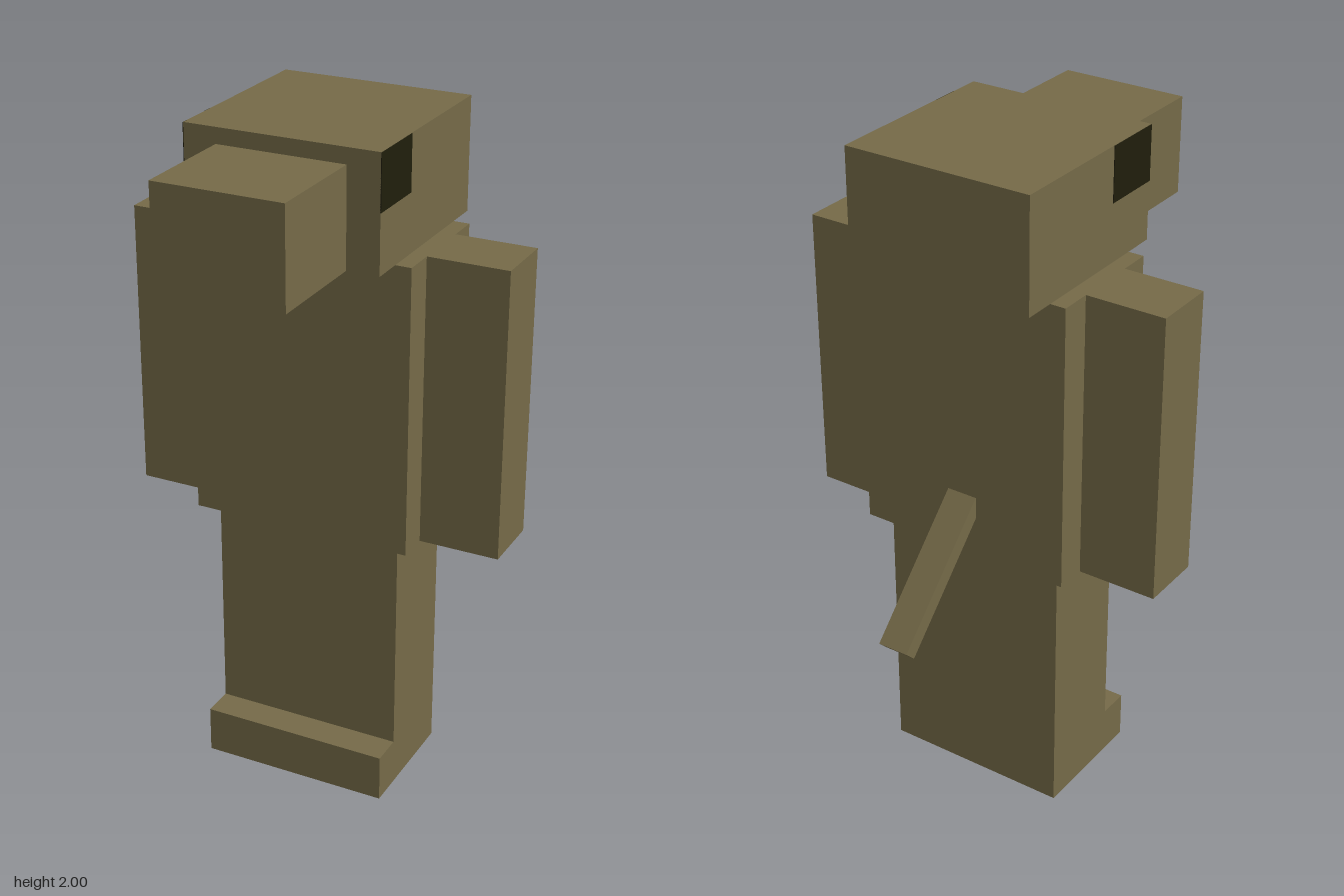
import * as THREE from 'three';

export function createModel() {
  const model = new THREE.Group();
  const hide = new THREE.MeshStandardMaterial({ color: 0x756a48 });
  hide.name = 'olive brown';
  const dark = new THREE.MeshStandardMaterial({ color: 0x201e0c });
  dark.name = 'eye dark';

  // Box given by its [min, max] range on each axis
  function block(name, [x0, x1], [y0, y1], [z0, z1], material = hide) {
    const mesh = new THREE.Mesh(new THREE.BoxGeometry(x1 - x0, y1 - y0, z1 - z0), material);
    mesh.position.set((x0 + x1) / 2, (y0 + y1) / 2, (z0 + z1) / 2);
    mesh.name = name;
    model.add(mesh);
    return mesh;
  }

  // Head and snout
  block('head', [-0.286, 0.286], [1.668, 2], [-0.333, 0.24]);
  block('snout', [-0.19, 0.19], [1.668, 1.954], [0.24, 0.573]);

  // Torso, legs and the toes in front of them
  block('torso', [-0.333, 0.333], [0.813, 1.668], [-0.237, 0.145]);
  block('legs', [-0.286, 0.286], [0, 0.813], [-0.187, 0.097]);
  block('toes', [-0.286, 0.286], [0, 0.143], [0.097, 0.193]);

  // Arms and thin eye plates on both sides
  for (const [side, s] of [['left', 1], ['right', -1]]) {
    const span = (a, b) => (s > 0 ? [a, b] : [-b, -a]);
    block(side + 'Arm', span(0.333, 0.571), [0.813, 1.668], [-0.142, 0.049]);
    block(side + 'Eye', span(0.285, 0.288), [1.84, 1.999], [0.057, 0.24], dark);
  }

  // Tail slanting down and back from the torso
  const tail = block('tail', [-0.047, 0.047], [-0.0235, 0.0235], [-0.25, 0.25]);
  tail.position.set(0, 0.8275, -0.3785);
  tail.rotation.x = -Math.PI / 4;

  return model;
}
